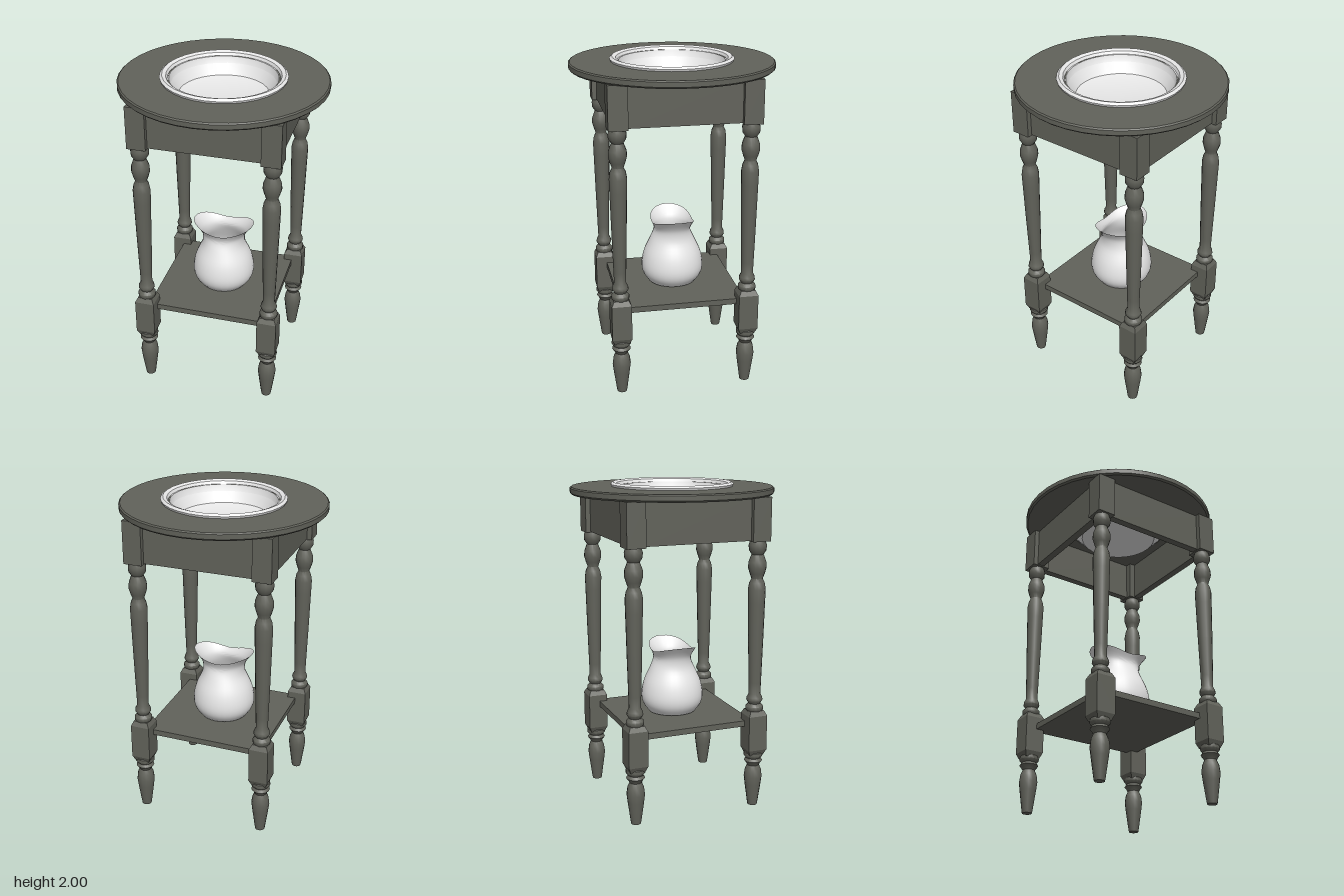
import * as THREE from 'three';
import { toCreasedNormals } from 'three/addons/utils/BufferGeometryUtils.js';

const wood = new THREE.MeshStandardMaterial({ color: 0x61625a });
wood.name = 'dark wood';
const china = new THREE.MeshStandardMaterial({ color: 0xeaeaea, side: THREE.DoubleSide });
china.name = 'white china';

// Turned shape from [radius, height] pairs
function turned(points, segments, crease = 0.6) {
  const geo = new THREE.LatheGeometry(points.map(([r, y]) => new THREE.Vector2(r, y)), segments);
  return toCreasedNormals(geo, crease);
}

function add(parent, name, geometry, material, x = 0, y = 0, z = 0) {
  const mesh = new THREE.Mesh(geometry, material);
  mesh.name = name;
  mesh.position.set(x, y, z);
  parent.add(mesh);
  return mesh;
}

// Jug body whose rim is pulled out and up into two lips along x
function jugGeometry() {
  const outline = new THREE.SplineCurve([
    [0.15, 0.56], [0.185, 0.61], [0.195, 0.67], [0.18, 0.75],
    [0.145, 0.83], [0.117, 0.89], [0.115, 0.92], [0.13, 0.955],
  ].map(([r, y]) => new THREE.Vector2(r, y))).getPoints(24);
  const geo = new THREE.LatheGeometry([new THREE.Vector2(0, 0.555), ...outline], 32);
  const p = geo.attributes.position;
  for (let i = 0; i < p.count; i++) {
    const x = p.getX(i), y = p.getY(i), z = p.getZ(i);
    const r = Math.hypot(x, z);
    if (y < 0.84 || r === 0) continue;
    const t = Math.pow((y - 0.84) / 0.115, 1.5);
    const lip = (x / r) ** 2;
    const scale = 1 + 0.062 * t * lip / r;
    p.setXYZ(i, x * scale, y + 0.047 * t * lip, z * scale);
  }
  return toCreasedNormals(geo, 0.8);
}

export function createModel() {
  const model = new THREE.Group();
  model.name = 'washstand';

  // Round top with an opening for the bowl
  add(model, 'tableTop', turned([
    [0.32, 1.93], [0.605, 1.93], [0.616, 1.94], [0.616, 1.968],
    [0.608, 1.975], [0.32, 1.975], [0.32, 1.93],
  ], 40), wood);

  // Sunken bowl with a rolled rim
  add(model, 'bowl', turned([
    [0, 1.84], [0.24, 1.85], [0.3, 1.91], [0.318, 1.975], [0.368, 1.975],
    [0.373, 1.988], [0.358, 2], [0.335, 1.992], [0.31, 1.94],
    [0.265, 1.875], [0.22, 1.862], [0, 1.858],
  ], 32), china);

  // Four apron boards
  for (let i = 0; i < 4; i++) {
    const side = new THREE.Group();
    side.name = 'apronSide';
    side.rotation.y = i * Math.PI / 2;
    add(side, 'apron', new THREE.BoxGeometry(0.68, 0.255, 0.045), wood, 0, 1.8025, 0.395);
    model.add(side);
  }

  // Legs: square post, turned shaft, square block, turned foot
  const post = new THREE.BoxGeometry(0.115, 0.26, 0.115);
  const shaft = turned([
    [0.04, 0.61], [0.054, 0.63], [0.054, 0.65], [0.037, 0.668], [0.05, 0.69],
    [0.047, 0.708], [0.036, 0.73], [0.038, 0.8], [0.045, 1.05], [0.051, 1.3],
    [0.053, 1.38], [0.046, 1.42], [0.034, 1.445], [0.045, 1.475], [0.055, 1.51],
    [0.053, 1.545], [0.036, 1.59], [0.052, 1.615], [0.054, 1.645], [0.045, 1.675],
  ], 14, 0.8);
  const block = turned([
    [0, 0.34], [0.064, 0.34], [0.085, 0.375], [0.085, 0.595], [0.064, 0.625], [0, 0.625],
  ], 4, 0.2);
  block.rotateY(Math.PI / 4);
  const foot = turned([
    [0, 0], [0.03, 0], [0.034, 0.025], [0.05, 0.14], [0.056, 0.19], [0.05, 0.235],
    [0.037, 0.265], [0.045, 0.28], [0.057, 0.295], [0.045, 0.312],
    [0.06, 0.33], [0.058, 0.35], [0.045, 0.36],
  ], 14, 0.8);
  for (const sx of [-1, 1]) for (const sz of [-1, 1]) {
    const leg = new THREE.Group();
    leg.name = (sz > 0 ? 'front' : 'back') + (sx > 0 ? 'Left' : 'Right') + 'Leg';
    leg.position.set(sx * 0.39, 0, sz * 0.39);
    add(leg, 'post', post, wood, 0, 1.8, 0);
    add(leg, 'shaft', shaft, wood);
    add(leg, 'block', block, wood);
    add(leg, 'foot', foot, wood);
    model.add(leg);
  }

  // Lower shelf and the jug standing on it
  add(model, 'shelf', new THREE.BoxGeometry(0.76, 0.036, 0.76), wood, 0, 0.536, 0);
  add(model, 'jug', jugGeometry(), china);

  return model;
}
